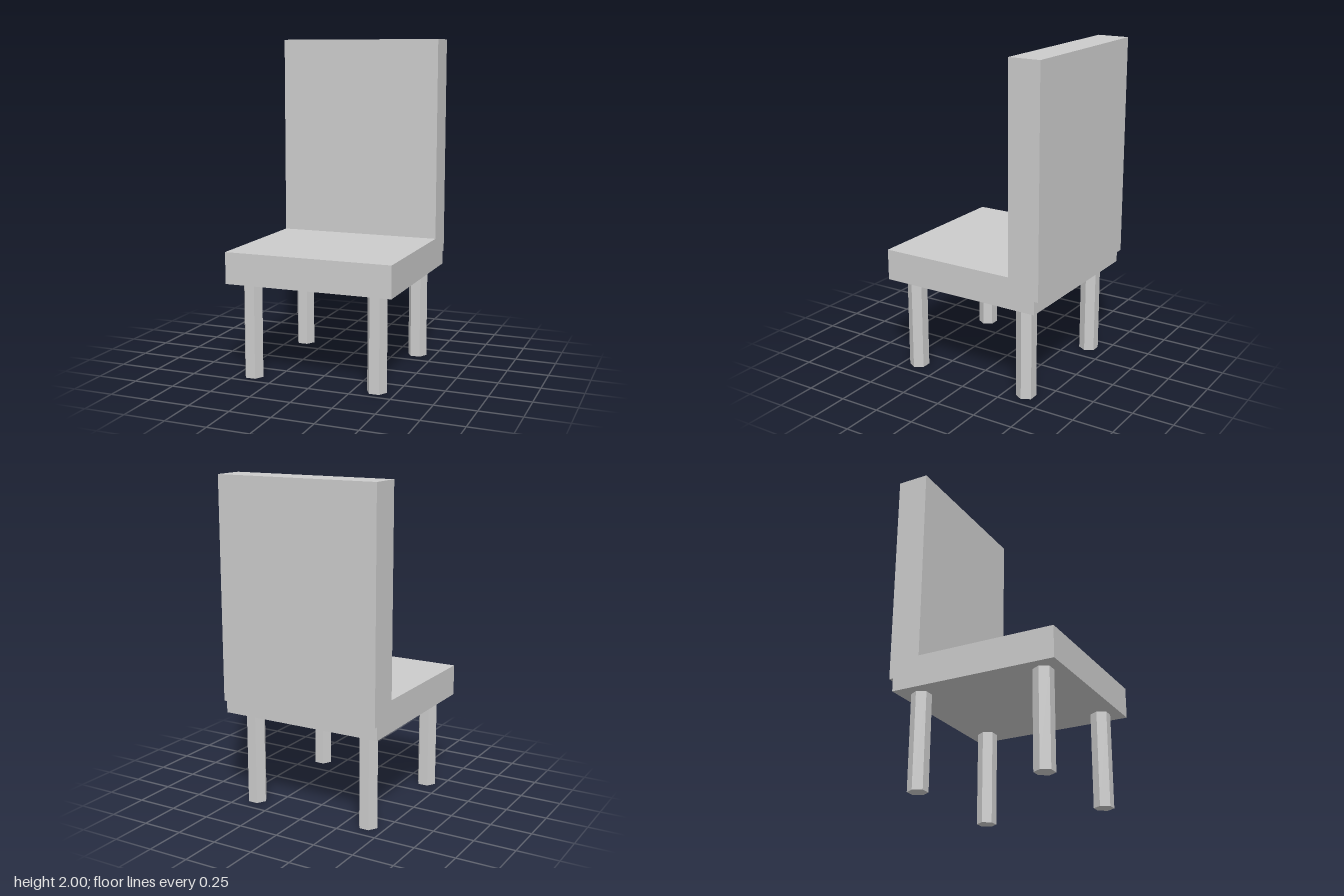
import * as THREE from 'three';

export function createModel() {
  const model = new THREE.Group();
  const grey = new THREE.MeshStandardMaterial({ color: 0xcccccc });
  grey.name = 'plain grey';

  // Seat and backrest: one side profile (z, y) extruded across the width
  const width = 1.022;
  const profile = new THREE.Shape([
    [0.525, 0.58], [0.525, 0.77], [-0.33, 0.77], [-0.33, 2],
    [-0.525, 2], [-0.525, 0.66], [-0.5, 0.66], [-0.5, 0.58],
  ].map(([z, y]) => new THREE.Vector2(z, y)));
  const bodyGeometry = new THREE.ExtrudeGeometry(profile, { depth: width, bevelEnabled: false });
  bodyGeometry.translate(0, 0, -width / 2).rotateY(-Math.PI / 2);
  const body = new THREE.Mesh(bodyGeometry, grey);
  body.name = 'seatAndBackrest';
  model.add(body);

  // Four hexagonal legs with corners pointing sideways
  const legHeight = 0.58;
  const legGeometry = new THREE.CylinderGeometry(0.06, 0.06, legHeight, 6)
    .rotateY(Math.PI / 2)
    .toNonIndexed();
  legGeometry.computeVertexNormals();
  for (const [end, z] of [['front', 0.403], ['back', -0.377]]) {
    for (const [side, x] of [['Left', 0.388], ['Right', -0.392]]) {
      const leg = new THREE.Mesh(legGeometry, grey);
      leg.name = `${end}${side}Leg`;
      leg.position.set(x, legHeight / 2, z);
      model.add(leg);
    }
  }
  return model;
}
